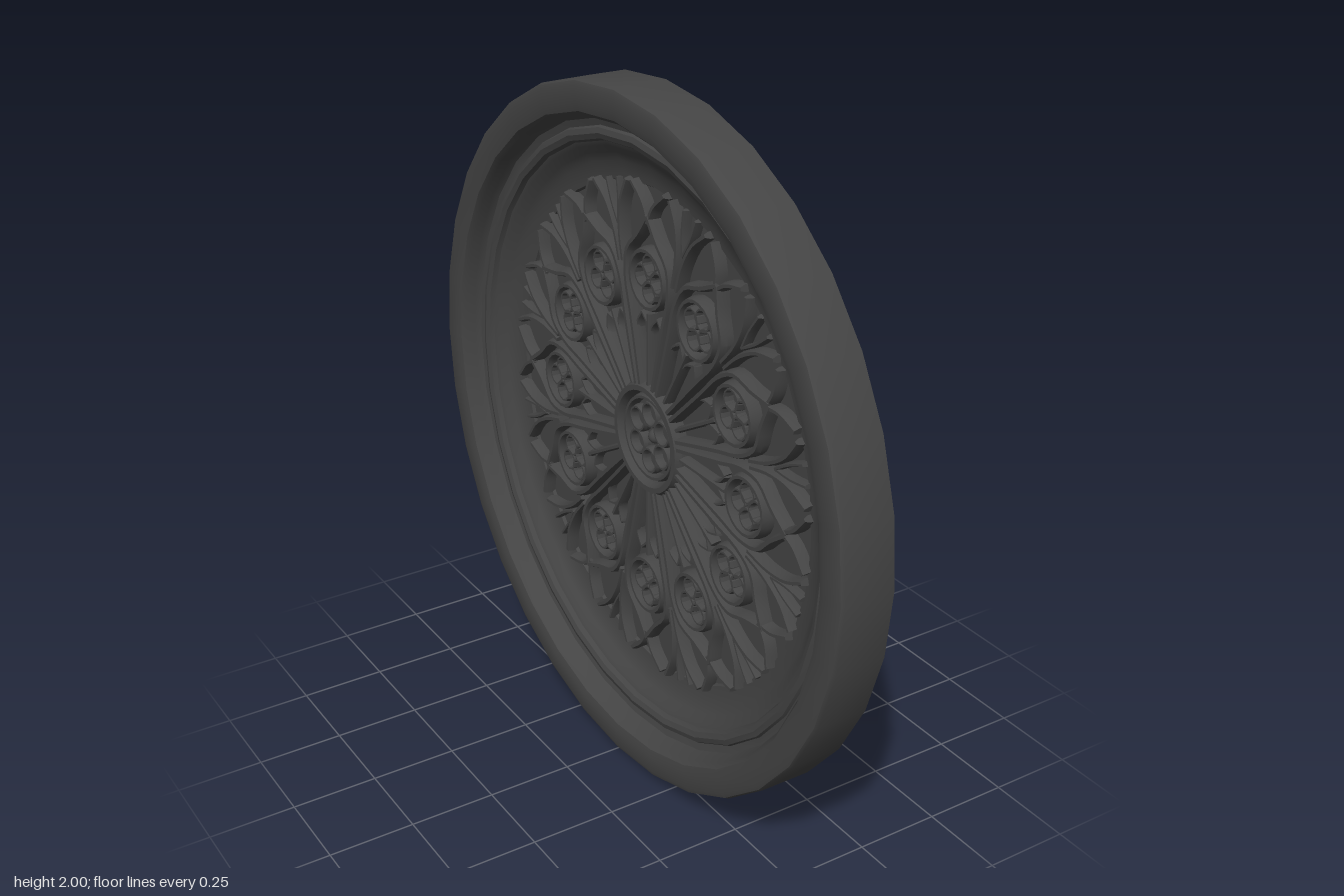
import * as THREE from 'three';
import { mergeGeometries, toCreasedNormals } from 'three/addons/utils/BufferGeometryUtils.js';

const SECTORS = 12;
const FLOOR = -0.055; // depth of the recessed panel
const material = new THREE.MeshStandardMaterial({ color: 0x444444 });

// polar point: angle in degrees from the sector axis (+y), radius
const P = (deg, r) => {
  const a = THREE.MathUtils.degToRad(deg);
  return new THREE.Vector2(r * Math.sin(a), r * Math.cos(a));
};

// raised stone bar with a chamfered section, swept along a flat spline
function bar(points, width, height, steps = 10, closed = false) {
  const curve = new THREE.CatmullRomCurve3(points.map(p => new THREE.Vector3(p.x, p.y, 0)), closed);
  const section = [[-0.5, -0.1], [-0.5, 0.55], [-0.22, 1], [0.22, 1], [0.5, 0.55], [0.5, -0.1]];
  const n = section.length, pos = [], idx = [];
  for (let i = 0; i <= steps; i++) {
    const c = curve.getPoint(i / steps), t = curve.getTangent(i / steps);
    for (const [s, h] of section) pos.push(c.x + t.y * s * width, c.y - t.x * s * width, FLOOR + h * height);
  }
  for (let i = 0; i < steps; i++) {
    for (let j = 0; j < n - 1; j++) {
      const a = i * n + j, b = a + 1, c = a + n, d = c + 1;
      idx.push(a, c, b, b, c, d);
    }
  }
  if (!closed) {
    const e = steps * n;
    for (let j = 1; j < n - 1; j++) idx.push(0, j, j + 1, e, e + j + 1, e + j);
  }
  const g = new THREE.BufferGeometry();
  g.setAttribute('position', new THREE.Float32BufferAttribute(pos, 3));
  g.setIndex(idx);
  // keep the top of the bar facing outward
  const up = new THREE.Vector3(pos[9], pos[10], pos[11]).sub(new THREE.Vector3(pos[6], pos[7], pos[8]));
  const along = curve.getTangent(0);
  if (along.cross(up).z < 0) for (let k = 0; k < idx.length; k += 3) [idx[k], idx[k + 1]] = [idx[k + 1], idx[k]];
  g.setIndex(idx);
  return g;
}

function ring(cx, cy, r, width, height, steps = 20) {
  const pts = [];
  for (let i = 0; i < 12; i++) pts.push(P(i * 30, r).add(new THREE.Vector2(cx, cy)));
  return bar(pts, width, height, steps, true);
}

const both = (pts, width, height, steps) =>
  [1, -1].map(s => bar(pts.map(([d, r]) => P(s * d, r)), width, height, steps));

const finish = list => toCreasedNormals(mergeGeometries(list), 0.5);

function add(parent, name, geometry) {
  const mesh = new THREE.Mesh(geometry, material);
  mesh.name = name;
  parent.add(mesh);
  return mesh;
}

export function createModel() {
  const model = new THREE.Group();
  model.name = 'roseWindow';
  const face = new THREE.Group();
  face.name = 'windowFace';
  face.rotation.y = -Math.PI / 2; // carved side looks towards -x
  face.position.y = 1;
  model.add(face);

  // moulded round frame with a solid back and a recessed panel
  const profile = [
    [0, -0.08], [1, -0.08], [1, 0.066], [0.995, 0.076], [0.983, 0.08], [0.935, 0.08],
    [0.915, 0.075], [0.903, 0.06], [0.9, 0.035], [0.89, 0.018], [0.87, 0.012],
    [0.865, 0.02], [0.85, 0.024], [0.835, 0.018], [0.828, 0.004], [0.815, -0.002],
    [0.795, -0.022], [0.77, -0.036], [0.735, -0.044], [0.72, -0.046], [0.715, FLOOR], [0, FLOOR],
  ].map(([r, z]) => new THREE.Vector2(r, z));
  const frame = new THREE.LatheGeometry(profile, 32).rotateX(Math.PI / 2);
  // rotating y onto z
  add(face, 'frame', toCreasedNormals(frame, 0.6));

  // central oculus: two rings, small foils and a boss
  const hub = [ring(0, 0, 0.148, 0.034, 0.04, 32), ring(0, 0, 0.118, 0.018, 0.028, 32)];
  for (let i = 0; i < 6; i++) {
    const c = P(i * 60, 0.07);
    hub.push(ring(c.x, c.y, 0.034, 0.013, 0.024, 14));
  }
  add(face, 'centreOculus', finish(hub));
  const boss = new THREE.SphereGeometry(0.022, 12, 6, 0, Math.PI * 2, 0, Math.PI / 2).rotateX(Math.PI / 2);
  add(face, 'centreBoss', boss).position.z = FLOOR;

  // one petal: mullions, pointed outline and twin lancet heads
  const petal = finish([
    ...both([[11, 0.155], [12, 0.26], [12.6, 0.37], [13, 0.46], [10.5, 0.535], [4.5, 0.585], [0, 0.645]], 0.024, 0.036, 18),
    bar([P(0, 0.16), P(0, 0.25), P(0, 0.37)], 0.018, 0.03, 2),
    ...both([[0, 0.3], [1.8, 0.335], [6, 0.365]], 0.013, 0.024, 6),
    ...both([[12.2, 0.3], [10.2, 0.335], [6, 0.365]], 0.013, 0.024, 6),
  ]);

  // medallion with four foils
  const medallionParts = [ring(0, 0.468, 0.08, 0.02, 0.036, 20)];
  for (let i = 0; i < 4; i++) {
    const c = P(i * 90, 0.038);
    medallionParts.push(ring(c.x, c.y + 0.468, 0.03, 0.012, 0.026, 12));
  }
  const medallion = finish(medallionParts);

  // curved ribs running out to the frame as pointed arches
  const ribs = finish([
    ...both([[0, 0.625], [2.2, 0.675], [6.2, 0.725]], 0.02, 0.034, 8),
    ...both([[14, 0.5], [13.6, 0.58], [11.6, 0.66], [8.2, 0.725]], 0.02, 0.034, 10),
    ...both([[15, 0.6], [13.4, 0.66], [12.8, 0.725]], 0.014, 0.026, 6),
  ]);

  for (let i = 0; i < SECTORS; i++) {
    const sector = new THREE.Group();
    sector.name = 'traceryPetal' + (i + 1);
    sector.rotation.z = (i * Math.PI * 2) / SECTORS;
    add(sector, 'petalOutline', petal);
    add(sector, 'medallion', medallion);
    add(sector, 'outerRibs', ribs);
    face.add(sector);
  }
  return model;
}
